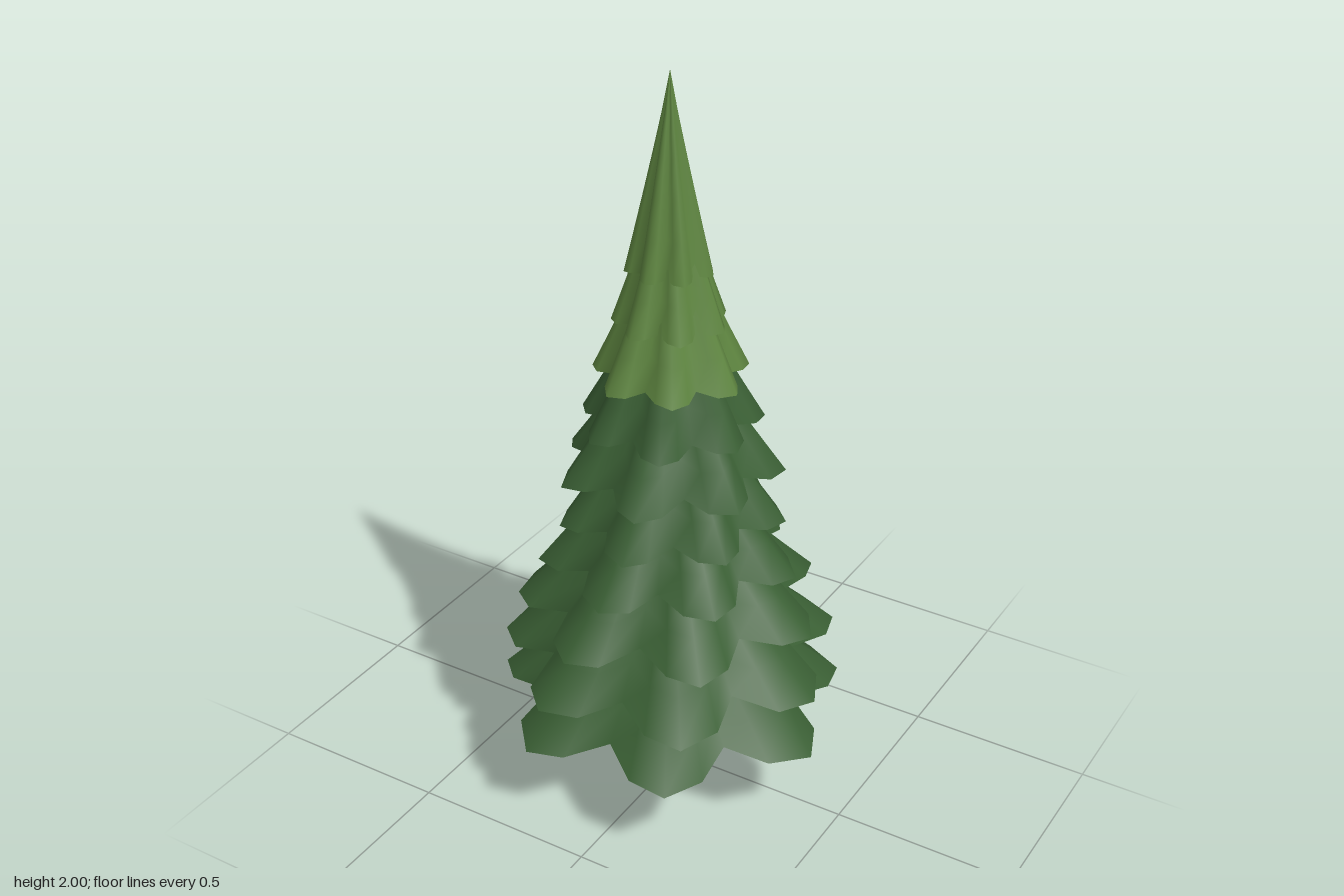
import * as THREE from 'three';

const LOBES = 7, SEGMENTS = LOBES * 4, ROWS = 5;

// small seeded generator for natural irregularity
function seeded(seed) {
  return () => (seed = (seed * 16807) % 2147483647) / 2147483647;
}

// one skirt of boughs: a pleated cone with seven drooping lobes
function skirtGeometry(rimY, radius, height, turn, rand) {
  const ratios = [1, 0.91, 0.71, 0.91]; // tip, shoulder, valley, shoulder
  const rim = [];
  for (let s = 0; s < SEGMENTS; s++) {
    const k = s % 4;
    rim.push({
      angle: turn + (s / SEGMENTS) * Math.PI * 2 + (rand() - 0.5) * 0.03,
      r: radius * ratios[k] * (0.98 + rand() * 0.03),
      lift: radius * ((k === 2 ? 0.07 : k === 0 ? 0 : 0.025) + rand() * 0.02),
    });
  }
  const positions = [], index = [];
  for (let row = 0; row <= ROWS; row++) {
    const t = row / ROWS;
    const shrink = Math.max(Math.pow(1 - t, 1.08), 0.002);
    for (const p of rim) {
      positions.push(
        Math.cos(p.angle) * p.r * shrink,
        rimY + height * t + p.lift * (1 - t),
        Math.sin(p.angle) * p.r * shrink
      );
    }
  }
  for (let row = 0; row < ROWS; row++) {
    for (let s = 0; s < SEGMENTS; s++) {
      const a = row * SEGMENTS + s;
      const b = row * SEGMENTS + ((s + 1) % SEGMENTS);
      const c = a + SEGMENTS, d = b + SEGMENTS;
      index.push(a, c, b, b, c, d);
    }
  }
  const geometry = new THREE.BufferGeometry();
  geometry.setAttribute('position', new THREE.Float32BufferAttribute(positions, 3));
  geometry.setIndex(index);
  geometry.computeVertexNormals();
  return geometry;
}

export function createModel() {
  const tree = new THREE.Group();
  tree.name = 'firTree';
  const bark = new THREE.MeshStandardMaterial({ color: 0x5a4035 });
  bark.name = 'bark';
  const darkNeedles = new THREE.MeshStandardMaterial({ color: 0x3a5f34, side: THREE.DoubleSide });
  darkNeedles.name = 'dark needles';
  const lightNeedles = new THREE.MeshStandardMaterial({ color: 0x5e8540, side: THREE.DoubleSide });
  lightNeedles.name = 'light needles';

  // trunk
  const trunk = new THREE.Mesh(new THREE.CylinderGeometry(0.026, 0.043, 0.72, 12), bark);
  trunk.name = 'trunk';
  trunk.position.y = 0.36;
  tree.add(trunk);

  // boughs from bottom to top: rim height, tip radius, height, turn in degrees;
  // each skirt is twisted a little further than the one below
  const skirts = [
    [0.235, 0.475, 0.45, 9.5],
    [0.38, 0.462, 0.45, 4],
    [0.535, 0.415, 0.45, -3],
    [0.675, 0.345, 0.45, -11],
    [0.805, 0.3, 0.45, -20],
    [0.94, 0.294, 0.45, -27],
    [1.075, 0.24, 0.45, -37],
    [1.21, 0.203, 0.46, -45],
    [1.355, 0.15, 0.45, -54],
    [1.495, 0.113, 0.505, -62],
  ];
  const rand = seeded(4127);
  skirts.forEach(([y, radius, height, turn], i) => {
    const geometry = skirtGeometry(y, radius, height, THREE.MathUtils.degToRad(turn), rand);
    const mesh = new THREE.Mesh(geometry, i < 7 ? darkNeedles : lightNeedles);
    mesh.name = i === skirts.length - 1 ? 'treetop' : `boughs${i + 1}`;
    tree.add(mesh);
  });

  // the trunk axis stands slightly off the middle of the spread
  for (const part of tree.children) {
    part.position.x = -0.018;
    part.position.z = 0.018;
  }
  return tree;
}
